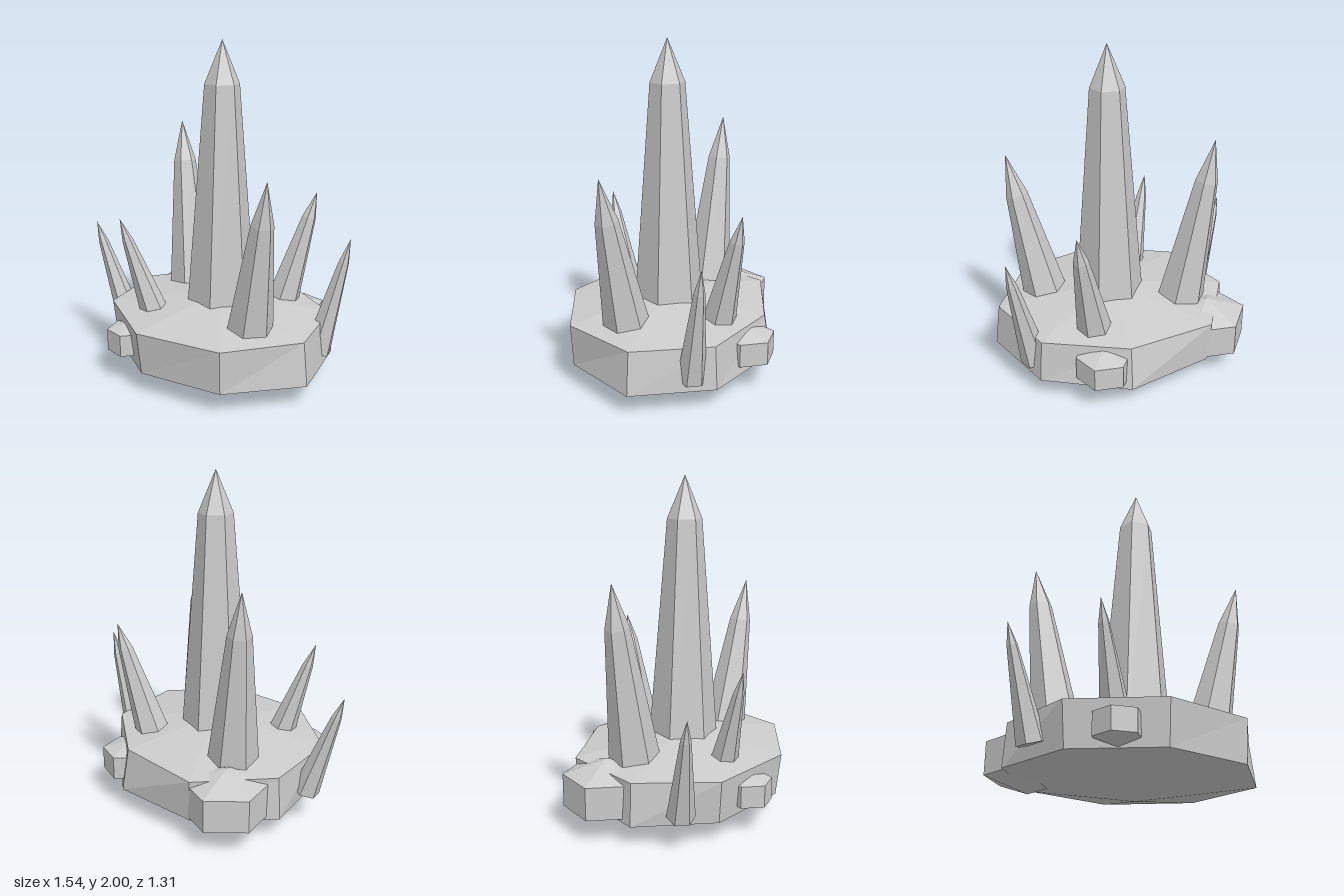
import * as THREE from 'three';

const V = (x, y, z) => new THREE.Vector3(x, y, z);

// Closed solid from two rings (counter-clockwise from above) and two end points
function solid(name, material, bottom, lower, upper, top) {
  const pos = [];
  const tri = (...pts) => pts.forEach((p) => pos.push(p.x, p.y, p.z));
  const n = lower.length;
  for (let i = 0; i < n; i++) {
    const j = (i + 1) % n;
    tri(bottom, lower[j], lower[i]);
    tri(lower[i], lower[j], upper[j]);
    tri(lower[i], upper[j], upper[i]);
    tri(upper[i], upper[j], top);
  }
  const geometry = new THREE.BufferGeometry();
  geometry.setAttribute('position', new THREE.Float32BufferAttribute(pos, 3));
  geometry.computeVertexNormals();
  const mesh = new THREE.Mesh(geometry, material);
  mesh.name = name;
  return mesh;
}

// Six-sided ring around a centre, tilted so that its normal is dir
function hexRing(center, radius, dir = V(0, 1, 0)) {
  const tilt = new THREE.Quaternion().setFromUnitVectors(V(0, 1, 0), dir);
  return Array.from({ length: 6 }, (_, i) => {
    const a = (i * Math.PI) / 3;
    return V(radius * Math.cos(a), 0, -radius * Math.sin(a)).applyQuaternion(tilt).add(center);
  });
}

// Tapered crystal: shaft up to the shoulder, then a pointed tip
function crystal(name, material, { base, tip, r, shoulder, rTop }) {
  const a = V(...base), b = V(...tip);
  const dir = b.clone().sub(a).normalize();
  const mid = a.clone().lerp(b, shoulder);
  return solid(name, material, a, hexRing(a, r, dir), hexRing(mid, rTop, dir), b);
}

// Chunky six-sided rock with shallow points above and below
function rock(name, material, { at: [x, z], r, y: [y0, y1, y2, y3] }) {
  return solid(name, material, V(x, y0, z), hexRing(V(x, y1, z), r), hexRing(V(x, y2, z), r), V(x, y3, z));
}

export function createModel() {
  const group = new THREE.Group();
  const stone = new THREE.MeshStandardMaterial({ color: 0xcccccc, flatShading: true });
  stone.name = 'pale grey stone';

  // Irregular eight-sided base slab
  const lower = [[0.77, 0.02], [0.545, -0.43], [0.035, -0.625], [-0.47, -0.43],
    [-0.705, 0.02], [-0.46, 0.45], [0.035, 0.625], [0.525, 0.45]];
  const upper = [[0.74, 0.02], [0.53, -0.415], [0.035, -0.58], [-0.49, -0.44],
    [-0.69, 0.02], [-0.48, 0.47], [0.035, 0.655], [0.535, 0.46]];
  group.add(solid('baseSlab', stone, V(0.035, 0, 0.02),
    lower.map(([x, z]) => V(x, 0.13, z)), upper.map(([x, z]) => V(x, 0.385, z)), V(0.035, 0.483, 0.02)));

  // Crystals growing out of the slab
  const crystals = {
    mainCrystal: { base: [0.04, 0.3, 0.02], tip: [0.05, 2, 0.025], r: 0.22, shoulder: 0.853, rTop: 0.104 },
    rightTallCrystal: { base: [-0.375, 0.3, -0.099], tip: [-0.55, 1.45, -0.15], r: 0.16, shoulder: 0.78, rTop: 0.07 },
    leftTallCrystal: { base: [0.415, 0.3, 0.14], tip: [0.63, 1.31, 0.215], r: 0.147, shoulder: 0.75, rTop: 0.066 },
    backCrystal: { base: [0.19, 0.3, -0.323], tip: [0.325, 1.08, -0.5], r: 0.115, shoulder: 0.8, rTop: 0.044 },
    frontCrystal: { base: [-0.16, 0.3, 0.35], tip: [-0.3, 0.965, 0.52], r: 0.094, shoulder: 0.8, rTop: 0.032 },
    rightEdgeCrystal: { base: [-0.593, 0.195, 0.275], tip: [-0.77, 0.82, 0.385], r: 0.082, shoulder: 0.8, rTop: 0.03 },
    leftEdgeCrystal: { base: [0.56, 0.19, -0.285], tip: [0.705, 0.895, -0.38], r: 0.085, shoulder: 0.8, rTop: 0.032 },
  };
  for (const [name, spec] of Object.entries(crystals)) group.add(crystal(name, stone, spec));

  // Rocks lodged in the rim
  const rocks = {
    frontRock: { at: [-0.205, 0.535], r: 0.135, y: [0.135, 0.18, 0.31, 0.345] },
    backRock: { at: [0.18, -0.51], r: 0.165, y: [0.14, 0.18, 0.32, 0.365] },
    rightRock: { at: [-0.52, -0.22], r: 0.25, y: [0.06, 0.15, 0.345, 0.43] },
  };
  for (const [name, spec] of Object.entries(rocks)) group.add(rock(name, stone, spec));

  return group;
}
